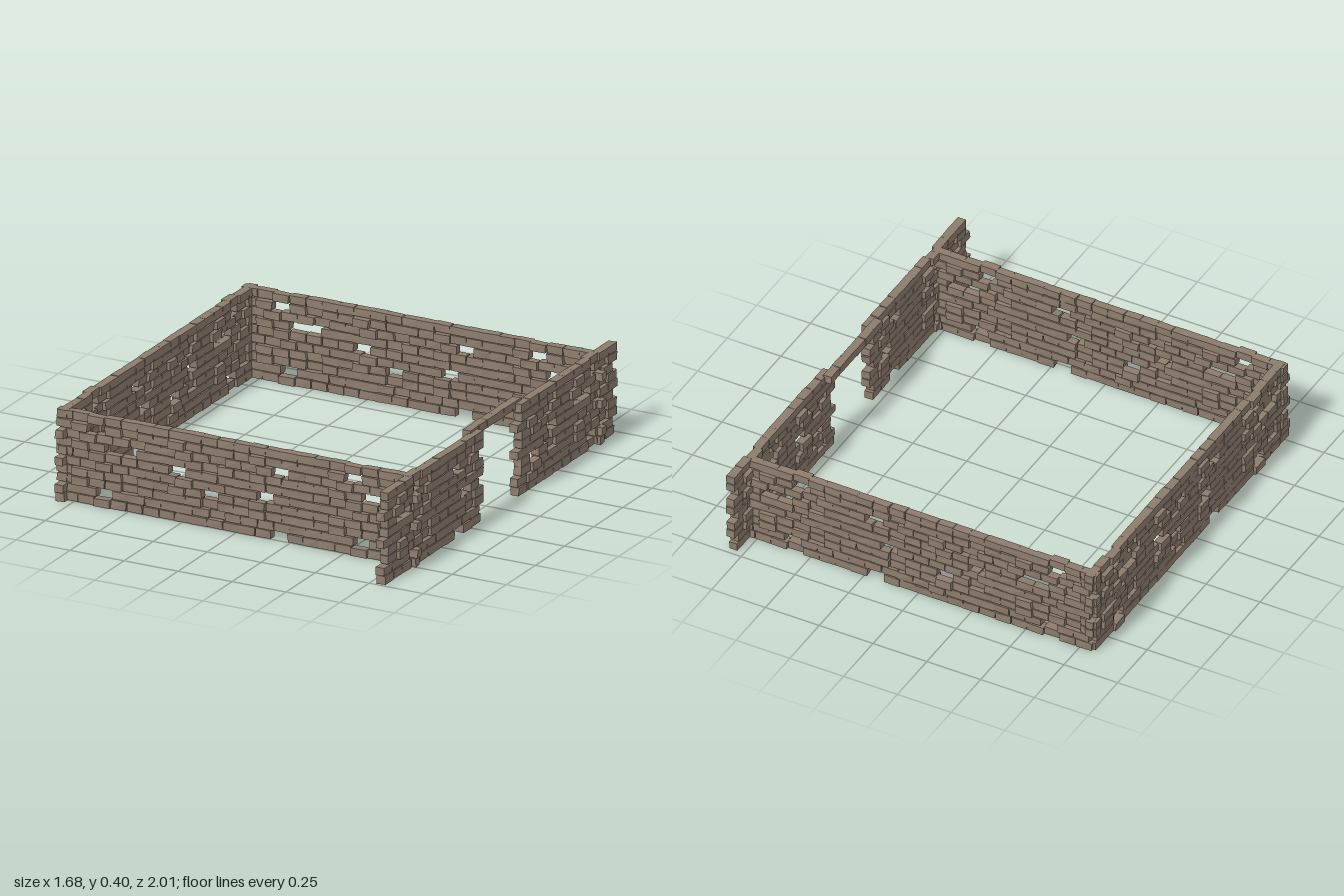
import * as THREE from 'three';
import { mergeGeometries } from 'three/addons/utils/BufferGeometryUtils.js';

const LEN = 0.0744, HIGH = 0.0395, DEEP = 0.037;
const HALF = 11;      // bricks per course in half a wall
const REPEAT = 16;    // the masonry pattern repeats after this many bricks

// where each course starts, bottom to top (running bond)
const STARTS = [-0.8, -0.79, -0.825, -0.825, -0.79, -0.825, -0.825, -0.79, -0.825, -0.825];
// missing bricks in each course, bottom to top
const MISSING = [[13], [2], [], [9], [12], [7], [3, 4], [13], [2], []];
// columns where bricks are pushed out (+) or in (-)
const SHIFTED = { 1: 0.015, 2: 0.011, 4: -0.014, 7: 0.016, 9: -0.013, 12: 0.012 };

function seeded(seed) {
  let s = (seed * 7919 + 13) % 2147483647;
  const next = () => (s = (s * 16807) % 2147483647) / 2147483647;
  next(); next();
  return next;
}

// one rough-hewn brick: a box whose eight corners are nudged
function brick(x, y, z, seed, len = LEN) {
  const rnd = seeded(seed + 1);
  const nudges = new Map();
  const geo = new THREE.BoxGeometry(len - 0.001, HIGH - 0.001, DEEP);
  const pos = geo.attributes.position;
  for (let i = 0; i < pos.count; i++) {
    const p = new THREE.Vector3().fromBufferAttribute(pos, i);
    const key = p.toArray().map(Math.sign).join();
    if (!nudges.has(key)) {
      nudges.set(key, new THREE.Vector3(
        (rnd() - 0.5) * 0.007,
        -Math.sign(p.y) * rnd() * 0.003,
        (rnd() - 0.5) * 0.004));
    }
    p.add(nudges.get(key));
    pos.setXYZ(i, p.x, p.y, p.z);
  }
  geo.computeVertexNormals();
  return geo.translate(x, y, z);
}

// half of a wall panel, lying along x and facing +z
function halfPanel(half) {
  const bricks = [];
  STARTS.forEach((start, row) => {
    for (let i = half * HALF; i < (half + 1) * HALF; i++) {
      const col = i % REPEAT;
      if (MISSING[row].includes(col)) continue;
      const seed = row * REPEAT + col;
      const pushed = seeded(seed + 500)() < 0.5 ? SHIFTED[col] || 0 : 0;
      bricks.push(brick(start + LEN * (i + 0.5), HIGH * (row + 0.5), pushed, seed));
    }
  });
  return mergeGeometries(bricks);
}

export function createModel() {
  const model = new THREE.Group();
  model.name = 'brickEnclosure';
  const stone = new THREE.MeshStandardMaterial({ color: 0x8c7c6d, flatShading: true });
  const halves = [halfPanel(0), halfPanel(1)];

  function wall(name, x, z, turned, shifts = [0, 0]) {
    const group = new THREE.Group();
    group.name = name;
    halves.forEach((geo, i) => {
      const mesh = new THREE.Mesh(geo, stone);
      mesh.name = name + (i ? 'SecondHalf' : 'FirstHalf');
      mesh.position.x = shifts[i];
      group.add(mesh);
    });
    group.position.set(x, 0, z);
    if (turned) group.rotation.y = -Math.PI / 2;
    model.add(group);
  }

  wall('frontWall', -0.005, 0.735, false);
  wall('backWall', -0.005, -0.85, false);
  wall('sideWall', -0.8, -0.055, true);
  // the entrance wall is split to leave a doorway
  wall('entranceWall', 0.8, 0, true, [-0.175, 0.153]);

  // lintel: a course of bricks spanning the doorway, set slightly inward
  const course = [];
  for (let i = 0; i < 6; i++) course.push(brick((i - 2.5) * 0.0725, 0, 0, 900 + i, 0.0745));
  const lintel = new THREE.Mesh(mergeGeometries(course), stone);
  lintel.name = 'doorLintel';
  lintel.position.set(0.77, 0.385, -0.015);
  lintel.rotation.y = -Math.PI / 2;
  model.add(lintel);

  return model;
}
